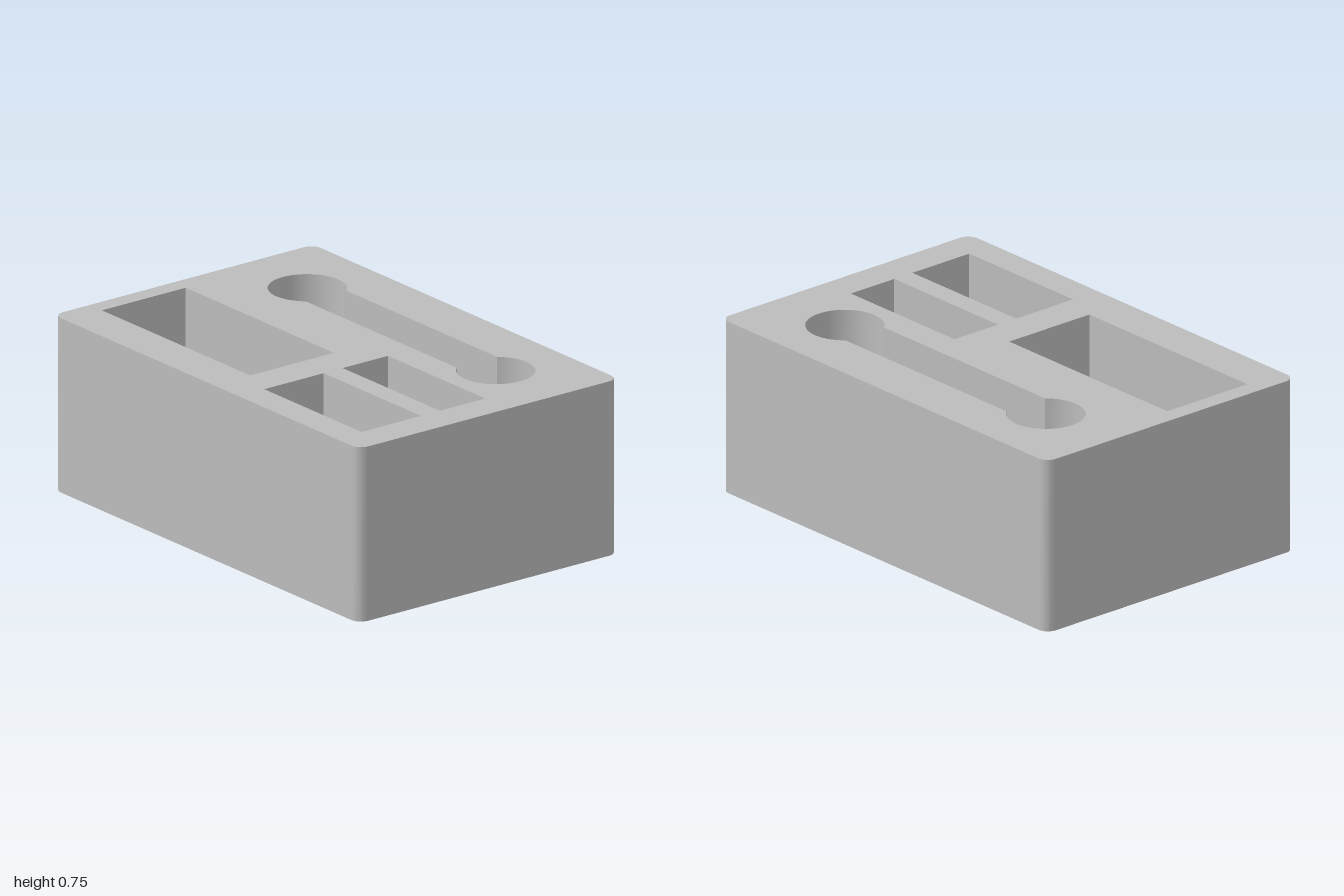
import * as THREE from 'three';
import { toCreasedNormals } from 'three/addons/utils/BufferGeometryUtils.js';

const TOP = 0.75, SHELF = 0.45, FLOOR = 0.25;

// Plan outlines are counter-clockwise in (x, -z)
const rect = (x0, x1, z0, z1) => [[x0, -z1], [x1, -z1], [x1, -z0], [x0, -z0]]
  .map(([x, y]) => new THREE.Vector2(x, y));

function arc(cx, cy, r, from, to, n) {
  return Array.from({ length: n + 1 }, (_, i) => {
    const a = from + (to - from) * i / n;
    return new THREE.Vector2(cx + r * Math.cos(a), cy + r * Math.sin(a));
  });
}

function roundedRect(hx, hz, r) {
  const corners = [[1, 1], [-1, 1], [-1, -1], [1, -1]];
  return corners.flatMap(([sx, sy], i) =>
    arc(sx * (hx - r), sy * (hz - r), r, i * Math.PI / 2, (i + 1) * Math.PI / 2, 10));
}

// Horizontal face at height y, optionally with openings
function face(outline, y, holes = []) {
  const shape = new THREE.Shape(outline);
  shape.holes = holes.map((h) => new THREE.Path(h));
  return new THREE.ShapeGeometry(shape).rotateX(-Math.PI / 2).translate(0, y, 0);
}

// Vertical wall along an outline, facing outward or (for pockets) inward
function wall(outline, y0, y1, inward = false) {
  const pts = inward ? [...outline].reverse() : outline;
  const pos = [];
  pts.forEach((p, i) => {
    const q = pts[(i + 1) % pts.length];
    if (p.distanceTo(q) < 1e-6) return;
    pos.push(p.x, y0, -p.y, q.x, y0, -q.y, q.x, y1, -q.y);
    pos.push(p.x, y0, -p.y, q.x, y1, -q.y, p.x, y1, -p.y);
  });
  const g = new THREE.BufferGeometry();
  g.setAttribute('position', new THREE.Float32BufferAttribute(pos, 3));
  return toCreasedNormals(g, 0.5);
}

export function createModel() {
  const group = new THREE.Group();
  const grey = new THREE.MeshStandardMaterial({ color: 0xbcbcbc });
  grey.name = 'grey';
  const add = (name, geometry) => {
    const mesh = new THREE.Mesh(geometry, grey);
    mesh.name = name;
    group.add(mesh);
  };

  // Long slot with a round finger recess at each end
  const cx = 0.617, cy = 0.336, r = 0.16, half = 0.103;
  const a = Math.asin(half / r);
  const leftArc = arc(-cx, cy, r, a, 2 * Math.PI - a, 40);
  const rightArc = arc(cx, cy, r, Math.PI + a, 3 * Math.PI - a, 40);
  const slotOpening = [...leftArc, ...rightArc];
  const slot = rect(-cx, cx, -cy - half, -cy + half);

  // Rectangular pockets
  const pockets = {
    largePocket: rect(-0.92, 0.05, 0.05, 0.48),
    narrowPocket: rect(0.213, 0.85, -0.1, 0.133),
    smallPocket: rect(0.213, 0.85, 0.23, 0.535),
  };

  // Outer block
  const outer = roundedRect(1, 0.667, 0.05);
  add('outerWall', wall(outer, 0, TOP));
  add('topFace', face(outer, TOP, [slotOpening, ...Object.values(pockets)]));
  add('bottomFace', face(outer, 0).rotateX(Math.PI));

  for (const [name, outline] of Object.entries(pockets)) {
    add(name + 'Wall', wall(outline, FLOOR, TOP, true));
    add(name + 'Floor', face(outline, FLOOR));
  }

  // Recess walls and shelves, then the deeper slot between them
  add('recessWall', wall(slotOpening, SHELF, TOP, true));
  const v = (x, y) => new THREE.Vector2(x, y);
  add('rightRecessShelf', face([...leftArc, v(-cx, cy - half), v(-cx, cy + half)], SHELF));
  add('leftRecessShelf', face([...rightArc, v(cx, cy + half), v(cx, cy - half)], SHELF));
  add('slotWall', wall(slot, FLOOR, SHELF, true));
  add('slotFloor', face(slot, FLOOR));

  return group;
}
